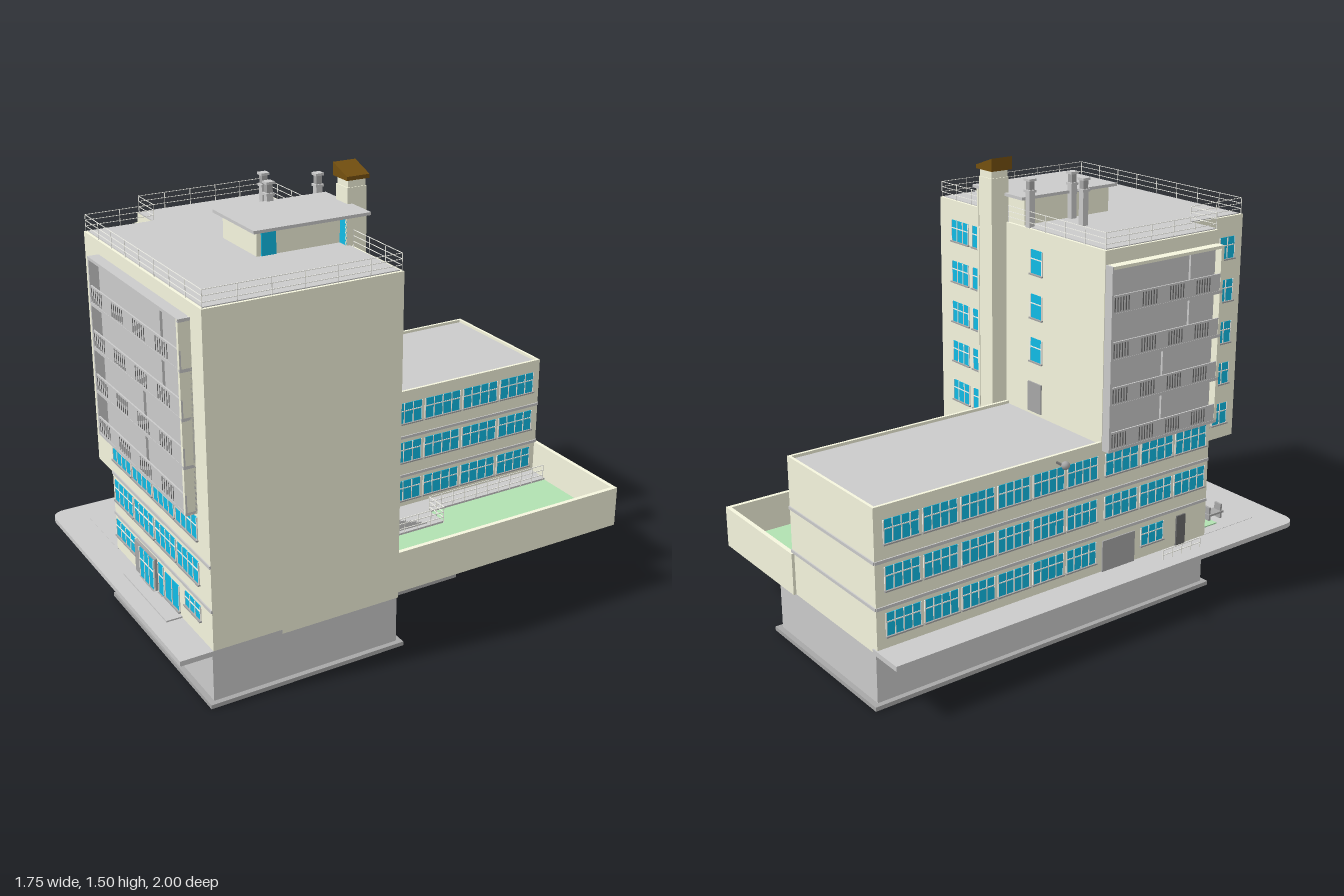
import * as THREE from 'three';

const mat = (color) => new THREE.MeshStandardMaterial({ color });
const M = {
  cream: mat(0xf6f6de), grey: mat(0xc6c6c6), mid: mat(0xa8a8a8), dark: mat(0x6c6c6c),
  glass: mat(0x10bce6), green: mat(0xb2e2b2), brown: mat(0x74500f), frame: mat(0xf4f4ec),
};

export function createModel() {
  const root = new THREE.Group();
  root.name = 'building';
  // Everything is laid out square and then turned on the site
  const site = new THREE.Group();
  site.name = 'site';
  site.rotation.y = -Math.PI / 6;
  root.add(site);

  const box = (name, x0, x1, y0, y1, z0, z1, m) => {
    const mesh = new THREE.Mesh(new THREE.BoxGeometry(x1 - x0, y1 - y0, z1 - z0), m);
    mesh.position.set((x0 + x1) / 2, (y0 + y1) / 2, (z0 + z1) / 2);
    mesh.name = name;
    site.add(mesh);
    return mesh;
  };
  // Flat shape in plan (x, -z) raised from y0 to y1
  const raise = (name, shape, y0, y1, m) => {
    const mesh = new THREE.Mesh(new THREE.ExtrudeGeometry(shape, { depth: y1 - y0, bevelEnabled: false }), m);
    mesh.rotation.x = -Math.PI / 2;
    mesh.position.y = y0;
    mesh.name = name;
    site.add(mesh);
  };
  // Box on a wall: u runs along the wall, d is the distance out of it
  const on = (name, side, plane, u0, u1, y0, y1, d0, d1, m) => {
    if (side === 'S') return box(name, u0, u1, y0, y1, plane + d0, plane + d1, m);
    if (side === 'N') return box(name, u0, u1, y0, y1, plane - d1, plane - d0, m);
    if (side === 'E') return box(name, plane + d0, plane + d1, y0, y1, u0, u1, m);
    return box(name, plane - d1, plane - d0, y0, y1, u0, u1, m);
  };
  const win = (side, plane, u0, u1, y0, y1, panes = 3, transom = true) => {
    on('windowGlass', side, plane, u0, u1, y0, y1, -0.004, 0.002, M.glass);
    const t = 0.0018;
    for (let i = 0; i <= panes; i++) {
      const u = u0 + (u1 - u0) * i / panes;
      on('windowMullion', side, plane, u - t, u + t, y0, y1, 0, 0.004, M.frame);
    }
    if (transom) {
      const y = y0 + (y1 - y0) * 0.62;
      on('windowTransom', side, plane, u0, u1, y - t, y + t, 0, 0.004, M.frame);
    }
    on('windowSill', side, plane, u0 - 0.004, u1 + 0.004, y0 - 0.005, y0, 0, 0.008, M.mid);
  };
  const winRow = (side, plane, u0, u1, n, y0, y1, gap = 0.014) => {
    const w = (u1 - u0) / n;
    for (let i = 0; i < n; i++) win(side, plane, u0 + i * w + gap / 2, u0 + (i + 1) * w - gap / 2, y0, y1, 4);
  };
  const railing = (name, pts, y, h, bars, step, t = 0.0012) => {
    for (let i = 0; i + 1 < pts.length; i++) {
      const [ax, az] = pts[i], [bx, bz] = pts[i + 1];
      const x0 = Math.min(ax, bx), x1 = Math.max(ax, bx), z0 = Math.min(az, bz), z1 = Math.max(az, bz);
      for (let b = 1; b <= bars; b++) {
        const yb = y + h * b / bars;
        box(name + 'Bar', x0 - t, x1 + t, yb - t, yb + t, z0 - t, z1 + t, M.frame);
      }
      const n = Math.max(1, Math.round((x1 - x0 + z1 - z0) / step));
      for (let k = 0; k <= n; k++) {
        const x = ax + (bx - ax) * k / n, z = az + (bz - az) * k / n;
        box(name + 'Post', x - t, x + t, y, y + h, z - t, z + t, M.frame);
      }
    }
  };

  // Basement on a footing rim that is open underneath
  const plan = [[-0.43, 0.835], [-0.43, -0.5], [-0.2, -0.5], [-0.2, -0.735], [0.53, -0.735], [0.53, -0.078], [0.26, -0.078],
    [0.26, -0.05], [0.16, -0.05], [0.16, 0.1], [0.26, 0.1], [0.26, 0.32], [0.16, 0.32], [0.16, 0.835]];
  const offset = (d) => plan.map(([x, y], i) => {
    const [px, py] = plan.at(i - 1), [nx, ny] = plan[(i + 1) % plan.length];
    return new THREE.Vector2(
      x + d * (Math.sign(y - py) + Math.sign(ny - y)),
      y - d * (Math.sign(x - px) + Math.sign(nx - x)));
  });
  raise('basement', new THREE.Shape(offset(0)), 0.012, 0.18, M.grey);
  const rim = new THREE.Shape(offset(0.018));
  rim.holes.push(new THREE.Path(offset(-0.016)));
  raise('footing', rim, 0, 0.014, M.mid);
  box('footingDivider', -0.42, 0.17, 0, 0.013, 0.02, 0.045, M.mid);

  // Street-level slab, rounded at one corner
  const s = new THREE.Shape();
  s.moveTo(-0.55, -0.79);
  s.quadraticCurveTo(-0.55, -0.845, -0.495, -0.845);
  s.lineTo(0.538, -0.845);
  s.lineTo(0.538, -0.5);
  s.lineTo(-0.42, -0.3);
  s.lineTo(-0.42, 0.84);
  s.lineTo(-0.55, 0.84);
  raise('pavement', s, 0.178, 0.195, M.grey);
  box('entranceFloor', -0.44, -0.19, 0.18, 0.196, 0.3, 0.74, M.grey);
  box('planting', -0.4, -0.33, 0.19, 0.2, 0.5, 0.6, M.green);

  // Wing
  const T = 0.655, N = -0.836, E = 0.063;
  box('wing', -0.44, E, 0.18, 0.642, N, 0.03, M.cream);
  box('wingRoof', -0.43, E - 0.01, 0.64, 0.645, N + 0.01, 0.02, M.grey);
  box('wingParapet', -0.44, -0.43, 0.6, T, N, 0.03, M.cream);
  box('wingParapet', E - 0.01, E, 0.6, T, N, 0.03, M.cream);
  box('wingParapet', -0.44, E, 0.6, T, N, N + 0.01, M.cream);
  for (const y of [0.33, 0.48]) {
    for (const [side, plane, u0, u1] of [['W', -0.44, N, 0.5], ['E', E, N, 0], ['N', N, -0.44, E], ['S', 0.735, -0.2, 0.538]])
      on('floorBand', side, plane, u0, u1, y - 0.005, y + 0.005, -0.002, 0.004, M.grey);
  }
  for (const y of [0.235, 0.385, 0.535]) {
    winRow('W', -0.44, -0.81, 0.01, 6, y, y + 0.075);
    winRow('E', E, -0.815, -0.165, 4, y, y + 0.075);
    win('E', E, -0.11, -0.055, y + 0.03, y + 0.07, 2, false);
    if (y > 0.3) {
      winRow('W', -0.44, 0.03, 0.49, 3, y, y + 0.075);
      winRow('S', 0.735, -0.19, 0.465, 4, y, y + 0.075);
    }
  }

  // Tower: lower floors, then upper floors that overhang the entrance corner
  box('towerCore', -0.44, 0.14, 0.18, 1.28, 0.02, 0.5, M.cream);
  box('towerEast', 0.14, 0.538, 0.18, 1.28, 0.078, 0.5, M.cream);
  box('towerSouth', -0.2, 0.538, 0.18, 1.28, 0.49, 0.735, M.cream);
  box('towerOverhang', -0.32, -0.19, 0.48, 1.28, 0.49, 0.735, M.cream);
  box('towerRoof', -0.43, 0.14, 1.278, 1.283, 0.03, 0.5, M.grey);
  box('towerRoof', 0.14, 0.528, 1.278, 1.283, 0.088, 0.5, M.grey);
  box('towerRoof', -0.31, 0.528, 1.278, 1.283, 0.5, 0.725, M.grey);
  railing('roofRail', [[0.06, 0.025], [-0.435, 0.025], [-0.435, 0.495], [-0.315, 0.495], [-0.315, 0.73],
    [0.533, 0.73], [0.533, 0.083], [0.26, 0.083]], 1.28, 0.055, 3, 0.1, 0.0009);

  // Entrance level, south and west
  win('S', 0.735, -0.19, -0.03, 0.25, 0.31, 4);
  box('entranceSurround', -0.02, 0.14, 0.19, 0.315, 0.73, 0.745, M.mid);
  win('S', 0.745, 0.025, 0.135, 0.2, 0.31, 3);
  win('S', 0.735, 0.15, 0.19, 0.2, 0.31, 1);
  win('S', 0.735, 0.2, 0.305, 0.21, 0.3, 2, false);
  win('S', 0.735, 0.35, 0.46, 0.26, 0.31, 3);
  box('doorStep', -0.02, 0.32, 0.19, 0.2, 0.735, 0.79, M.grey);
  on('garageDoor', 'W', -0.44, 0.03, 0.17, 0.195, 0.305, 0, 0.005, M.mid);
  win('W', -0.44, 0.2, 0.3, 0.24, 0.305, 3);
  on('sideDoor', 'W', -0.44, 0.36, 0.4, 0.195, 0.305, 0, 0.006, M.dark);
  for (const z of [0.585, 0.64]) box('benchLeg', -0.375, -0.345, 0.195, 0.25, z, z + 0.008, M.mid);
  box('benchSeat', -0.38, -0.34, 0.218, 0.225, 0.58, 0.653, M.mid);
  railing('entranceRail', [[-0.5, 0.25], [-0.5, 0.42]], 0.195, 0.035, 2, 0.04);

  // Stacked balconies with slotted parapets on the south and west faces
  const balconies = (side, plane, u0, u1, d, roofMat) => {
    const w = u1 - u0;
    on('balconyBack', side, plane, u0, u1, 0.63, 1.23, 0, 0.006, M.grey);
    for (let f = 0; f <= 4; f++) {
      const y = 0.63 + f * 0.15;
      on('balconySlab', side, plane, u0, u1, y - 0.005, y + 0.005, 0, d, f === 4 ? roofMat : M.grey);
      if (f === 4) break;
      on('balconyParapet', side, plane, u0, u1, y, y + 0.062, d - 0.006, d - 0.001, M.grey);
      const split = u0 + w * (f < 2 ? 0.5 : 0.73);
      on('balconyDivider', side, plane, split - 0.002, split + 0.002, y, y + 0.15, 0, 0.014, M.grey);
      for (let g = 0; g < 4; g++) for (let k = 0; k < 6; k++) {
        const u = u0 + w * (0.02 + g * 0.245 + k * 0.024);
        on('balconySlot', side, plane, u - 0.002, u + 0.002, y + 0.01, y + 0.056, d - 0.004, d, M.dark);
      }
    }
    on('balconyFin', side, plane, u0 - 0.004, u0 + 0.004, 0.625, 1.235, 0, d, M.grey);
    on('balconyFin', side, plane, u1 - 0.012, u1, 0.625, 1.235, 0, d, M.cream);
  };
  balconies('S', 0.735, -0.2, 0.463, 0.038, M.grey);
  balconies('W', -0.44, 0.026, 0.498, 0.033, M.cream);

  // Windows of the overhang and north face, one per floor
  for (let f = 0; f < 6; f++) {
    const y = 0.385 + f * 0.15;
    win('N', 0.078, 0.27, 0.34, y, y + 0.075, 2);
    win('N', 0.078, 0.365, 0.465, y, y + 0.075, 3);
    if (f > 0) {
      win('W', -0.32, 0.54, 0.61, y, y + 0.075, 2);
      win('W', -0.32, 0.63, 0.7, y, y + 0.075, 2);
    }
    if (f > 2) win('N', 0.02, -0.13, -0.07, y, y + 0.08, 1);
  }
  on('roofDoor', 'N', 0.02, -0.13, -0.06, 0.656, 0.76, 0, 0.005, M.mid);

  // Glazed stair shaft
  box('stairGlass', 0.14, 0.245, 0.2, 1.368, 0.035, 0.1, M.glass);
  for (const [x, w] of [[0.145, 0.005], [0.193, 0.009], [0.241, 0.005]])
    box('stairColumn', x - w, x + w, 0.2, 1.368, 0.03, 0.1, M.cream);
  for (let f = 0; f < 7; f++) {
    const y = 0.33 + f * 0.15;
    box('stairBand', 0.14, 0.246, y - 0.004, y + 0.004, 0.032, 0.1, M.frame);
  }

  // Chimney with a sloping cap
  box('chimney', 0.065, 0.135, 0.19, 1.43, -0.04, 0.03, M.cream);
  box('chimneyVent', 0.068, 0.132, 1.43, 1.46, -0.037, 0.027, M.cream);
  const cap = box('chimneyCap', 0.057, 0.143, 1.455, 1.483, -0.045, 0.037, M.brown);
  const p = cap.geometry.attributes.position;
  for (let i = 0; i < p.count; i++) if (p.getY(i) > 0) p.setY(i, p.getY(i) - p.getX(i) * 0.35);
  cap.geometry.computeVertexNormals();

  // Rooftop stair house
  box('roofHouse', -0.02, 0.205, 1.28, 1.37, 0.03, 0.39, M.cream);
  box('roofHouseCover', -0.03, 0.247, 1.368, 1.378, 0.013, 0.42, M.grey);
  on('roofHouseDoor', 'E', 0.205, 0.325, 0.375, 1.283, 1.365, 0, 0.004, M.glass);

  // Roof vents
  for (const [x, z] of [[-0.137, 0.183], [-0.03, 0.222], [-0.045, 0.034]]) {
    box('ventShaft', x - 0.011, x + 0.011, 1.28, 1.405, z - 0.011, z + 0.011, M.grey);
    for (const y of [1.4, 1.437]) box('ventCap', x - 0.015, x + 0.015, y - 0.004, y + 0.004, z - 0.015, z + 0.015, M.grey);
    box('ventCore', x - 0.01, x + 0.01, 1.4, 1.44, z - 0.01, z + 0.01, M.mid);
  }

  // Garden terrace with wall, walkway, steps and railings
  box('terraceBase', 0.05, 0.505, 0.18, 0.198, N, 0.08, M.grey);
  box('lawn', 0.14, 0.495, 0.19, 0.203, N + 0.01, 0.08, M.green);
  box('terraceWallEast', 0.497, 0.512, 0.18, 0.325, N - 0.01, 0.08, M.cream);
  box('terraceWallNorth', 0.05, 0.512, 0.18, 0.325, N - 0.01, N + 0.005, M.cream);
  box('walkway', 0.06, 0.142, 0.19, 0.21, N + 0.01, 0.02, M.grey);
  box('landing', 0.142, 0.23, 0.19, 0.21, -0.31, 0.08, M.grey);
  for (let i = 0; i < 7; i++) box('gardenStep', 0.125, 0.215, 0.2, 0.215 + i * 0.008, -0.25 + i * 0.022, -0.228 + i * 0.022, M.grey);
  railing('gardenRail', [[0.142, N + 0.02], [0.142, -0.31], [0.23, -0.31], [0.23, -0.04]], 0.205, 0.06, 3, 0.05);
  for (const x of [0.28, 0.39]) box('lightWell', x, x + 0.08, 0.2, 0.225, 0.045, 0.078, M.frame);

  // Wall lamp on the wing
  box('lampArm', -0.48, -0.44, 0.628, 0.634, -0.167, -0.161, M.dark);
  const lamp = new THREE.Mesh(new THREE.SphereGeometry(0.014, 12, 8), M.mid);
  lamp.position.set(-0.485, 0.635, -0.164);
  lamp.name = 'lamp';
  site.add(lamp);
  return root;
}
